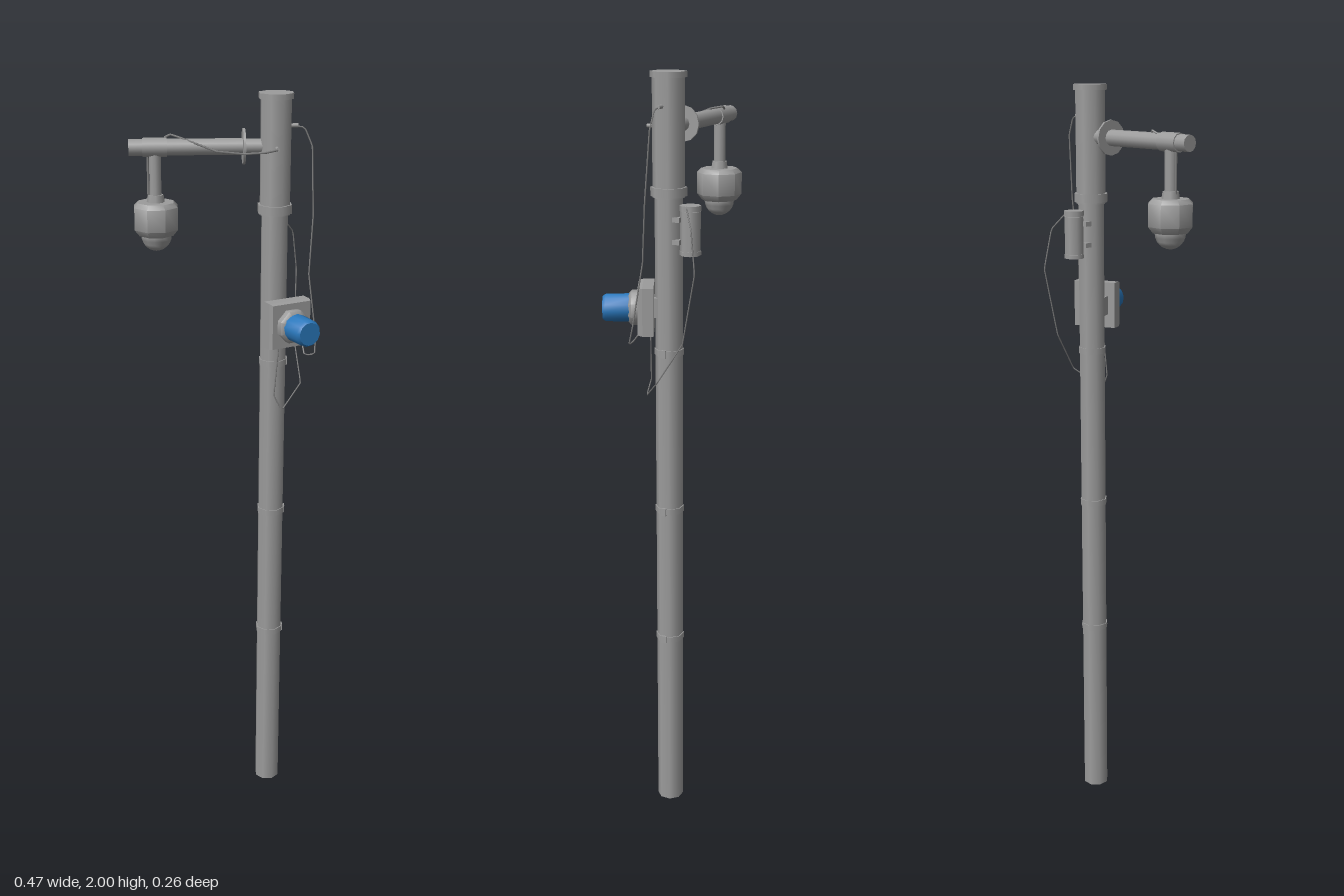
import * as THREE from 'three';
import { toCreasedNormals } from 'three/addons/utils/BufferGeometryUtils.js';

const grey = new THREE.MeshStandardMaterial({ color: 0x9c9c9c });
const greyOpen = new THREE.MeshStandardMaterial({ color: 0x9c9c9c, side: THREE.DoubleSide });
const dark = new THREE.MeshStandardMaterial({ color: 0x808080 });
const blue = new THREE.MeshStandardMaterial({ color: 0x2a78bc });
const PX = 0.1285, PZ = -0.027; // pole axis
const ARM_Y = 1.87;
const CAM_X = -0.172;

function add(parent, name, geometry, x = 0, y = 0, z = 0, material = grey) {
  const mesh = new THREE.Mesh(geometry, material);
  mesh.name = name;
  mesh.position.set(x, y, z);
  parent.add(mesh);
  return mesh;
}

// Octagonal prism with flats facing the axes; r is measured to the flats
function octagon(r, h, open = false) {
  const R = r / Math.cos(Math.PI / 8);
  return new THREE.CylinderGeometry(R, R, h, 8, 1, open, Math.PI / 8);
}

// Turned profile, [radius, height] pairs from bottom to top
function turned(profile, segments) {
  const points = profile.map(([r, y]) => new THREE.Vector2(r, y));
  const g = new THREE.LatheGeometry(points, segments, Math.PI / 8);
  return toCreasedNormals(g, 0.82);
}

function cable(parent, name, r, points) {
  const path = new THREE.CurvePath();
  const v = points.map((p) => new THREE.Vector3(...p));
  for (let i = 1; i < v.length; i++) path.add(new THREE.LineCurve3(v[i - 1], v[i]));
  add(parent, name, new THREE.TubeGeometry(path, 60, r, 5, false), 0, 0, 0, dark);
}

function buildPole(root) {
  const pole = new THREE.Group();
  pole.name = 'pole';
  pole.position.set(PX, 0, PZ);
  root.add(pole);
  add(pole, 'lowerPole', octagon(0.0325, 1.72, true), 0, 0.86, 0, greyOpen);
  add(pole, 'upperPole', octagon(0.037, 0.29), 0, 1.845, 0);
  add(pole, 'topCap', octagon(0.042, 0.014), 0, 1.993, 0);
  add(pole, 'jointCollar', octagon(0.042, 0.022), 0, 1.715, 0);
  // Strap clamps, each with a small buckle
  for (const y of [0.505, 0.88, 1.31]) {
    add(pole, 'strap', octagon(0.035, 0.016), 0, y, 0);
    add(pole, 'strapBuckle', new THREE.BoxGeometry(0.006, 0.02, 0.014), 0.035, y, 0);
  }
}

function buildArm(root) {
  const arm = new THREE.Group();
  arm.name = 'arm';
  arm.position.set(0, ARM_Y, PZ);
  root.add(arm);
  // Tubes along x: name, radius, start, end
  for (const [name, r, x0, x1] of [
    ['armTube', 0.0205, -0.237, 0.048],
    ['armSleeve', 0.0235, -0.203, -0.142],
    ['armNeck', 0.019, 0.048, 0.1],
    ['armFlange', 0.0445, 0.046, 0.052],
  ]) {
    const g = new THREE.CylinderGeometry(r, r, x1 - x0, 12);
    add(arm, name, g, (x0 + x1) / 2).rotation.z = Math.PI / 2;
  }
}

function buildCamera(root) {
  const camera = new THREE.Group();
  camera.name = 'domeCamera';
  camera.position.set(CAM_X, 0, PZ);
  root.add(camera);
  add(camera, 'cameraStem', new THREE.CylinderGeometry(0.0155, 0.0155, 0.13, 10), 0, 1.795, 0);
  add(camera, 'stemCollar', new THREE.CylinderGeometry(0.02, 0.023, 0.02, 8), 0, 1.743, 0);
  add(camera, 'stemCable', new THREE.CylinderGeometry(0.003, 0.003, 0.115, 5), -0.018, 1.795, 0, dark);
  add(camera, 'cameraHousing', turned([
    [0, 1.652], [0.046, 1.652], [0.059, 1.668], [0.059, 1.724], [0.048, 1.735], [0, 1.735],
  ], 8));
  // Dome under the housing
  const dome = [];
  for (let i = 0; i <= 6; i++) {
    const a = (i / 6) * Math.PI / 2;
    dome.push([0.039 * Math.sin(a), 1.65 - 0.039 * Math.cos(a)]);
  }
  dome.push([0.039, 1.66]);
  add(camera, 'cameraDome', turned(dome, 12));
}

function buildLamp(root) {
  const lamp = new THREE.Group();
  lamp.name = 'signalLamp';
  lamp.position.set(0.161, 1.426, 0.02);
  lamp.rotation.y = 0.44;
  root.add(lamp);
  // Back box, with a lid whose front edges draw in slightly
  const w = 0.059, h = 0.061;
  add(lamp, 'lampBox', new THREE.BoxGeometry(2 * w, 2 * h, 0.028), 0, 0, -0.005);
  const lid = new THREE.BoxGeometry(2 * w, 2 * h, 0.012);
  const p = lid.attributes.position;
  for (let i = 0; i < p.count; i++) {
    if (p.getZ(i) > 0) p.setXY(i, p.getX(i) * 0.95, p.getY(i) * 0.95);
  }
  lid.computeVertexNormals();
  add(lamp, 'lampLid', lid, 0, 0, 0.015);
  add(lamp, 'lampRing', turned([[0, 0], [0.045, 0], [0.045, 0.018], [0.036, 0.026], [0, 0.026]], 8), 0, 0, 0.019)
    .rotation.x = Math.PI / 2;
  add(lamp, 'lampLens', turned([[0, 0], [0.036, 0], [0.035, 0.062], [0.03, 0.07], [0, 0.07]], 12), 0, 0, 0.04, blue)
    .rotation.x = Math.PI / 2;
  // Saddle between the box and the pole
  add(lamp, 'lampBracket', new THREE.BoxGeometry(0.05, 0.05, 0.03), -0.015, 0, -0.03);
}

function buildCanister(root) {
  const canister = new THREE.Group();
  canister.name = 'rearCanister';
  canister.position.set(PX, 0, -0.086);
  root.add(canister);
  add(canister, 'canisterBody', octagon(0.0235, 0.108), 0, 1.616, 0);
  add(canister, 'canisterLid', octagon(0.025, 0.014), 0, 1.678, 0);
  add(canister, 'canisterBase', octagon(0.025, 0.01), 0, 1.568, 0);
  for (const y of [1.595, 1.65]) {
    add(canister, 'canisterBracket', new THREE.BoxGeometry(0.05, 0.012, 0.03), 0, y, 0.034);
  }
}

function buildCables(root) {
  cable(root, 'armCable', 0.0027, [
    [-0.148, 1.89, -0.05], [-0.132, 1.897, -0.053], [-0.11, 1.893, -0.03], [-0.02, 1.866, 0.02],
    [0.046, 1.86, 0.025], [0.1, 1.865, 0.037], [0.13, 1.87, 0.03], [0.128, 1.87, 0.005],
  ]);
  cable(root, 'lampCable', 0.002, [
    [0.16, 1.92, -0.027], [0.2, 1.916, -0.025], [0.22, 1.87, -0.022], [0.225, 1.7, -0.01],
    [0.216, 1.55, 0.002], [0.235, 1.39, 0.022], [0.232, 1.345, 0.034], [0.205, 1.345, 0.037],
    [0.2, 1.375, 0.015],
  ]);
  cable(root, 'canisterCable', 0.0018, [
    [0.15, 1.685, -0.085], [0.186, 1.635, -0.115], [0.199, 1.53, -0.131], [0.192, 1.35, -0.095],
    [0.205, 1.245, -0.03], [0.15, 1.19, 0.028], [0.128, 1.23, 0.025], [0.14, 1.37, 0.02],
  ]);
  // Plugs where cables enter the pole
  add(root, 'sidePlug', new THREE.CylinderGeometry(0.005, 0.005, 0.025, 8), 0.172, 1.92, PZ)
    .rotation.z = Math.PI / 2;
  add(root, 'frontPlug', new THREE.CylinderGeometry(0.005, 0.005, 0.025, 8), PX, 1.87, 0.018)
    .rotation.x = Math.PI / 2;
}

export function createModel() {
  const root = new THREE.Group();
  root.name = 'cameraPole';
  buildPole(root);
  buildArm(root);
  buildCamera(root);
  buildLamp(root);
  buildCanister(root);
  buildCables(root);
  return root;
}
